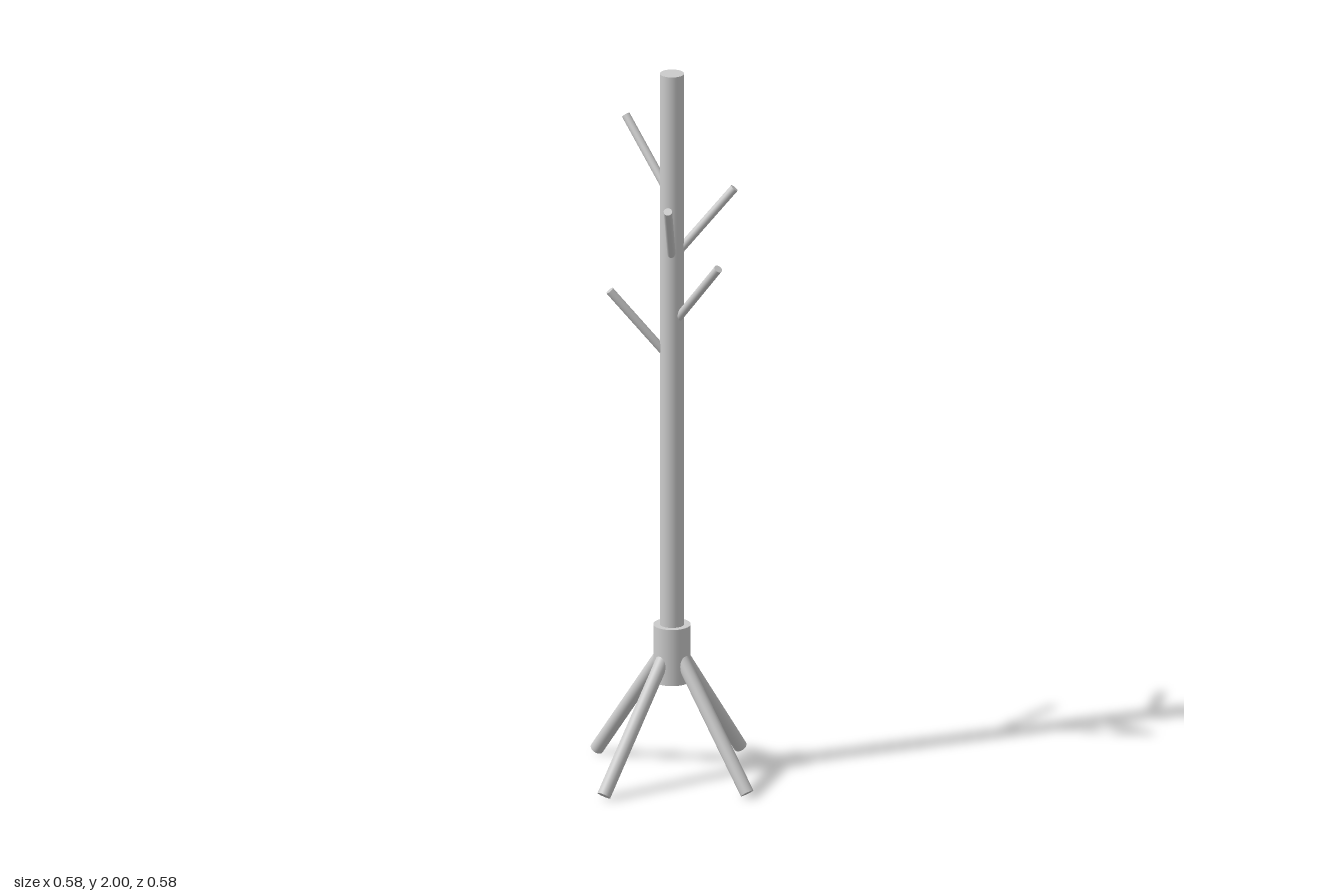
import * as THREE from 'three';

const material = new THREE.MeshStandardMaterial({ color: 0xcccccc });

// Round rod with flat ends running between two points
function rod(name, from, to, radius, segments = 32) {
  const axis = to.clone().sub(from);
  const mesh = new THREE.Mesh(
    new THREE.CylinderGeometry(radius, radius, axis.length(), segments), material);
  mesh.name = name;
  mesh.position.copy(from).add(to).multiplyScalar(0.5);
  mesh.quaternion.setFromUnitVectors(new THREE.Vector3(0, 1, 0), axis.normalize());
  return mesh;
}

// Point at a distance from the pole axis along heading (x, z)
function around(x, z, reach, y) {
  const length = Math.hypot(x, z);
  return new THREE.Vector3(x / length * reach, y, z / length * reach);
}

export function createModel() {
  const stand = new THREE.Group();
  stand.name = 'coatStand';

  // Upright pole and the collar that holds the legs
  const up = (y) => new THREE.Vector3(0, y, 0);
  stand.add(rod('pole', up(0.28), up(2), 0.033, 48));
  stand.add(rod('collar', up(0.27), up(0.43), 0.0505, 48));

  // Four splayed legs
  const legs = [['left', 1, 0], ['right', -1, 0], ['front', 0, 1], ['back', 0, -1]];
  for (const [side, x, z] of legs) {
    stand.add(rod(side + 'Leg', around(x, z, 0.02, 0.36), around(x, z, 0.273, 0.011), 0.0187));
  }

  // Six hooks leaning 40 degrees from the pole: heading x, z and tip height
  const hooks = [
    ['backHook', 0, -1, 1.843],
    ['frontLeftHook', 0.115, 0.121, 1.672],
    ['frontRightHook', -0.131, 0.104, 1.664],
    ['frontHook', 0, 1, 1.482],
    ['backRightHook', -0.115, -0.122, 1.382],
    ['backLeftHook', 0.131, -0.105, 1.302],
  ];
  const inner = 0.015, outer = 0.168;
  const rise = (outer - inner) / Math.tan(THREE.MathUtils.degToRad(40));
  for (const [name, x, z, tip] of hooks) {
    stand.add(rod(name, around(x, z, inner, tip - rise), around(x, z, outer, tip), 0.0115, 24));
  }
  return stand;
}
